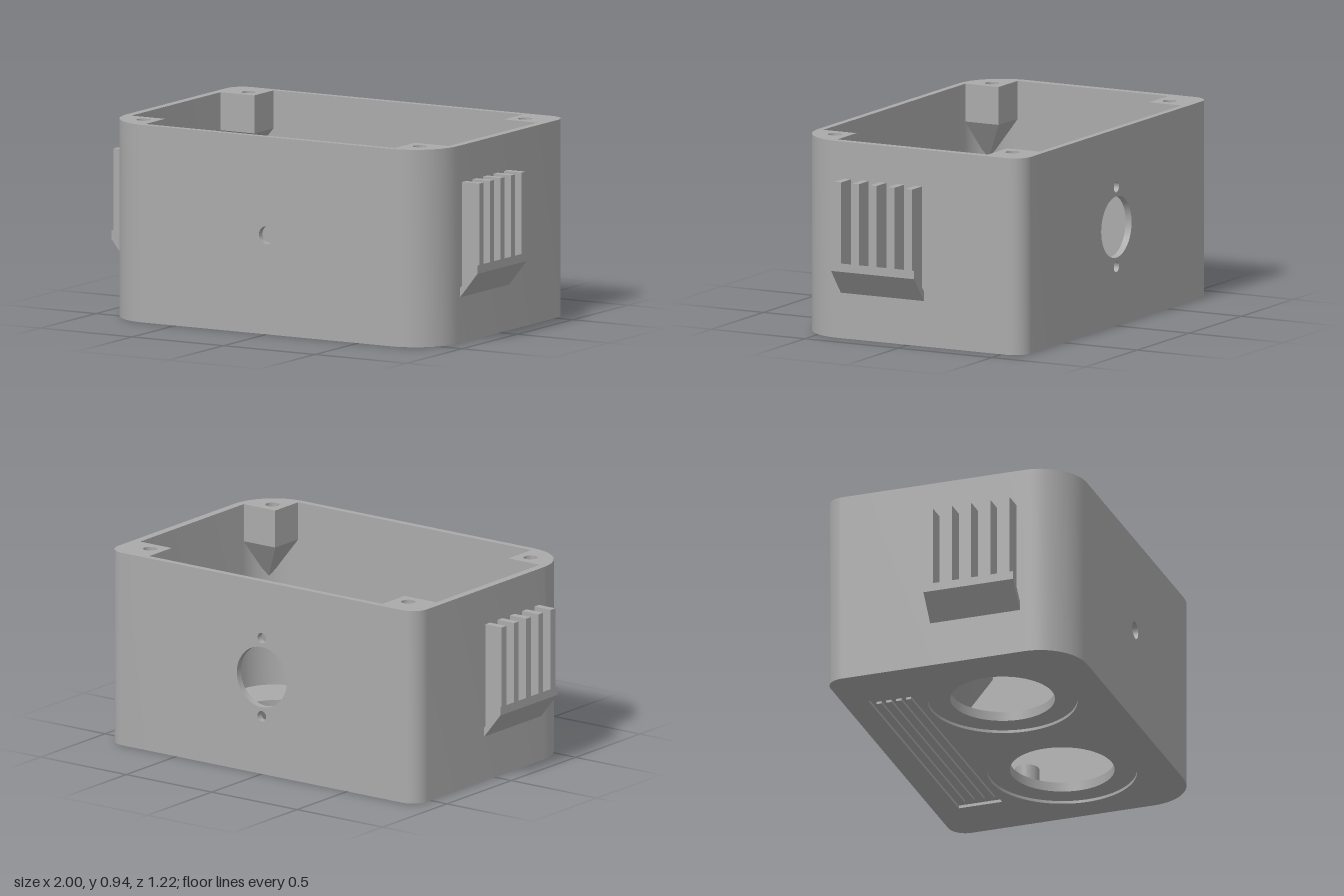
import * as THREE from 'three';
import { toCreasedNormals } from 'three/addons/utils/BufferGeometryUtils.js';
import { ConvexGeometry } from 'three/addons/geometries/ConvexGeometry.js';

const H = 0.935;                       // case height
const X = 0.905, Z = 0.61;             // outer half sizes
const XI = 0.866, ZI = 0.578;          // inner half sizes
const R_BACK = 0.085, R_FRONT = 0.23;  // outer corner radii
const RI_BACK = 0.05, RI_FRONT = 0.19; // inner corner radii
const FLOOR = 0.04, RECESS = 0.014;

export function createModel() {
  const group = new THREE.Group();
  const grey = new THREE.MeshStandardMaterial({ color: 0xaaaaaa });
  grey.name = 'grey plastic';

  const add = (name, geo) => {
    const mesh = new THREE.Mesh(geo, grey);
    mesh.name = name;
    group.add(mesh);
    return mesh;
  };
  const v = (x, y) => new THREE.Vector2(x, y);
  const arc = (cx, cy, r, a0, a1, n = 14) => Array.from({ length: n + 1 }, (_, i) => {
    const a = a0 + (a1 - a0) * i / n;
    return v(cx + r * Math.cos(a), cy + r * Math.sin(a));
  });
  const circle = (x, y, r) => new THREE.Path().absarc(x, y, r, 0, Math.PI * 2);
  const rect = (x0, y0, x1, y1) => [v(x0, y0), v(x1, y0), v(x1, y1), v(x0, y1)];
  const extrude = (points, holes, depth) => {
    const shape = new THREE.Shape(points);
    shape.holes.push(...holes);
    return new THREE.ExtrudeGeometry(shape, { depth, bevelEnabled: false, curveSegments: 32 });
  };
  // Plan outline (x, z) raised from y0 to y1
  const plan = (points, holes, y0, y1) => toCreasedNormals(
    extrude(points, holes, y1 - y0).rotateX(Math.PI / 2).translate(0, y1, 0), 0.6);
  // +x side of the rounded outline, from back to front
  const halfOutline = (x, z, rb, rf) => [
    ...arc(x - rb, -z + rb, rb, -Math.PI / 2, 0),
    ...arc(x - rf, z - rf, rf, 0, Math.PI / 2),
  ];
  const flip = (points, s) => points.map(p => v(p.x * s, p.y));

  // Side walls with their rounded corners
  const CUT = 0.6;
  const sideWall = [
    v(CUT, -Z), ...halfOutline(X, Z, R_BACK, R_FRONT), v(CUT, Z),
    v(CUT, ZI), ...halfOutline(XI, ZI, RI_BACK, RI_FRONT).reverse(), v(CUT, -ZI),
  ];
  for (const s of [1, -1]) add(s > 0 ? 'leftWall' : 'rightWall', plan(flip(sideWall, s), [], 0, H));

  // Front and back panels with their round openings
  const panel = (name, holes, z) => add(name, toCreasedNormals(
    extrude(rect(-CUT, 0, CUT, H), holes, Z - ZI).translate(0, 0, z), 0.6));
  panel('frontWall', [circle(0, 0.47, 0.042)], ZI);
  panel('backWall', [
    circle(0, 0.47, 0.146), circle(0, 0.66, 0.025), circle(0, 0.28, 0.025),
  ], -Z);

  // Floor in two layers, the lower one leaving recesses on the underside
  const half = halfOutline(XI + 0.005, ZI + 0.005, RI_BACK, RI_FRONT);
  const floorOutline = [...half, ...flip(half, -1).reverse()];
  const ventRecess = new THREE.Path(rect(-0.63, -0.49, 0.63, -0.275));
  add('floorUnderside', plan(floorOutline,
    [circle(0.415, 0.1, 0.35), circle(-0.415, 0.1, 0.35), ventRecess], 0, RECESS));
  add('floor', plan(floorOutline,
    [circle(0.415, 0.1, 0.245), circle(-0.415, 0.1, 0.245)], RECESS, FLOOR));

  // Long ribs in the underside recess
  for (let i = 0; i < 4; i++) {
    const z = -0.455 + i * 0.049;
    add('undersideRib', plan(rect(-0.58, z - 0.013, 0.58, z + 0.013), [], 0.002, RECESS + 0.002));
  }

  // Raised centre strip on the floor
  add('centreStrip', plan(rect(-0.11, -ZI, 0.11, 0.065), [], FLOOR - 0.005, FLOOR + 0.02));

  // Collars around the floor openings, each with a short arm to the middle
  const a = Math.asin(0.13 / 0.27);
  const collar = [
    v(0.11, 0.23), ...arc(0.415, 0.1, 0.27, Math.PI - a, -Math.PI + a, 48), v(0.11, -0.03),
  ];
  for (const s of [1, -1]) {
    add('openingCollar', plan(flip(collar, s), [circle(s * 0.415, 0.1, 0.245)], FLOOR - 0.002, 0.06));
    // Screw bosses
    for (const [x, z] of [[0.655, -0.16], [0.178, 0.357]]) {
      add('screwBoss', plan(circle(s * x, z, 0.057).getPoints(32).slice(0, -1),
        [circle(s * x, z, 0.03)], FLOOR - 0.002, 0.16));
    }
  }

  // Corner posts with screw holes, tapering down into the corner
  const POST_BASE = 0.755;
  for (const sx of [1, -1]) for (const sz of [1, -1]) {
    const r = sz > 0 ? 0.165 : 0.05;
    const zIn = sz > 0 ? 0.4 : 0.405;
    const corner = arc(XI - r + 0.002, ZI - r + 0.002, r, 0, Math.PI / 2, 10);
    const outline = [v(0.682, zIn), v(XI + 0.002, zIn), ...corner, v(0.682, ZI + 0.002)]
      .map(p => v(p.x * sx, p.y * sz));
    add('cornerPost', plan(outline, [circle(sx * 0.755, sz * 0.475, 0.033)], POST_BASE, H));
    const tip = corner[5];
    add('postTaper', new ConvexGeometry([
      ...outline.map(p => new THREE.Vector3(p.x, POST_BASE, p.y)),
      new THREE.Vector3(tip.x * sx, 0.555, tip.y * sz),
    ]));
  }

  // Side grilles: sloping ledge and five upright ribs
  const ledge = [v(0.9, 0.21), v(1, 0.335), v(1, 0.375), v(0.9, 0.254)];
  const rib = [v(0.9, 0.25), v(1, 0.37), v(1, 0.76), v(0.9, 0.76)];
  for (const s of [1, -1]) {
    add('grilleLedge', extrude(flip(ledge, s), [], 0.445).translate(0, 0, -0.085));
    for (let i = 0; i < 5; i++) {
      add('grilleRib', extrude(flip(rib, s), [], 0.036).translate(0, 0, -0.074 + i * 0.095));
    }
  }
  return group;
}
